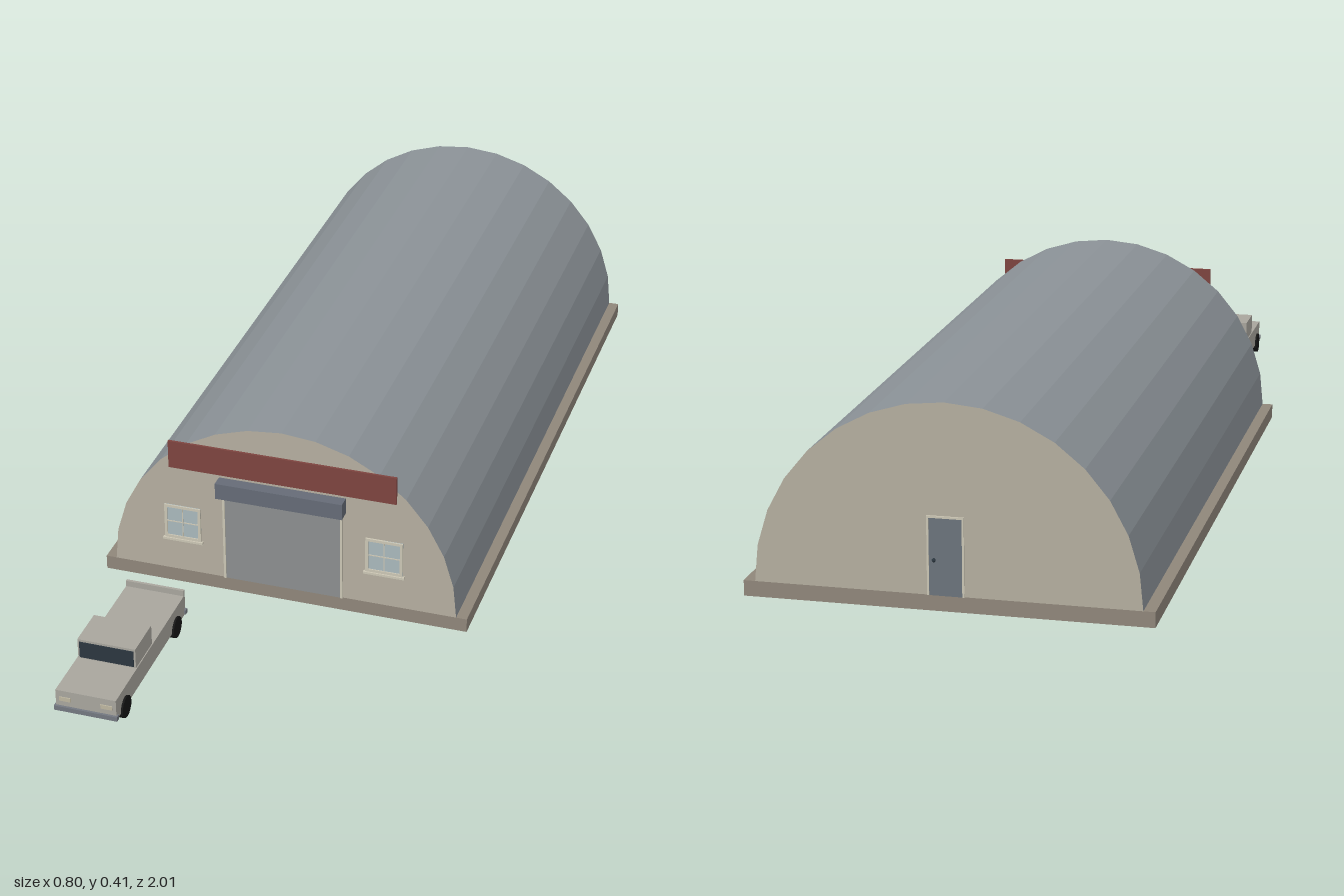
import * as THREE from 'three';

const paint = (color) => new THREE.MeshStandardMaterial({ color, flatShading: true, side: THREE.DoubleSide });

export function createModel() {
  const model = new THREE.Group();
  const mat = {
    roof: paint(0x8b9297), wall: paint(0xb4ae9f), slab: paint(0x8f867a), sign: paint(0x7d443f),
    housing: paint(0x656b76), door: paint(0x8b8e8f), trim: paint(0xcbc6b4), glass: paint(0xa9b8bc),
    backDoor: paint(0x6b737b), dark: paint(0x2b363f), body: paint(0xa8a59d), bumper: paint(0x737880),
    tire: paint(0x151515), lamp: paint(0xbdb6a0),
  };

  const add = (parent, name, geometry, material) => {
    const mesh = new THREE.Mesh(geometry, material);
    mesh.name = name;
    parent.add(mesh);
    return mesh;
  };
  // Box given by its limits on each axis
  const box = (parent, name, material, x0, x1, y0, y1, z0, z1) => {
    const mesh = add(parent, name, new THREE.BoxGeometry(x1 - x0, y1 - y0, z1 - z0), material);
    mesh.position.set((x0 + x1) / 2, (y0 + y1) / 2, (z0 + z1) / 2);
    return mesh;
  };
  const group = (name, x = 0, y = 0, z = 0) => {
    const g = new THREE.Group();
    g.name = name;
    g.position.set(x, y, z);
    model.add(g);
    return g;
  };

  const R = 0.375, FLOOR = 0.031, FRONT = 0.443, BACK = -1, SEGS = 16;

  // Slab and barrel hall
  const hall = group('hall');
  box(hall, 'slab', mat.slab, -0.398, 0.398, 0, FLOOR, BACK, FRONT);
  const arch = new THREE.CylinderGeometry(R, R, FRONT - BACK, SEGS, 1, true, -Math.PI / 2, Math.PI);
  add(hall, 'barrelRoof', arch.rotateX(-Math.PI / 2), mat.roof).position.set(0, FLOOR, (FRONT + BACK) / 2);
  for (const [name, z] of [['frontWall', FRONT], ['backWall', BACK]]) {
    const wall = add(hall, name, new THREE.CircleGeometry(R, SEGS, 0, Math.PI), mat.wall);
    wall.position.set(0, FLOOR, z);
    if (z < 0) wall.rotation.y = Math.PI;
  }

  // Sign board and roller door
  const entrance = group('entrance', 0, 0, FRONT);
  box(entrance, 'signBoard', mat.sign, -0.246, 0.246, 0.284, 0.347, 0, 0.005);
  box(entrance, 'rollerHousing', mat.housing, -0.137, 0.137, 0.24, 0.276, 0, 0.027);
  box(entrance, 'rollerDoor', mat.door, -0.126, 0.126, FLOOR, 0.237, 0, 0.002);
  for (const s of [-1, 1]) {
    box(entrance, 'doorJamb', mat.trim, s * 0.128 - 0.0025, s * 0.128 + 0.0025, FLOOR, 0.24, 0, 0.004);
  }
  box(entrance, 'doorLintel', mat.trim, -0.13, 0.13, 0.236, 0.24, 0, 0.004);

  // Front windows
  for (const s of [-1, 1]) {
    const win = group('window', s * 0.22, 0.15, FRONT);
    const w = 0.04, t = 0.006;
    box(win, 'windowGlass', mat.glass, -w, w, -w, w, 0, 0.0015);
    for (const k of [-1, 1]) {
      const c = k * (w - t / 2);
      box(win, 'windowStile', mat.trim, c - t / 2, c + t / 2, -w, w, 0, 0.004);
      box(win, 'windowRail', mat.trim, -w, w, c - t / 2, c + t / 2, 0, 0.004);
    }
    box(win, 'mullion', mat.trim, -0.001, 0.001, -w, w, 0, 0.003);
    box(win, 'crossbar', mat.trim, -w, w, -0.001, 0.001, 0, 0.003);
    box(win, 'windowSill', mat.trim, -0.044, 0.044, -0.045, -0.04, 0, 0.007);
  }

  // Back door
  const rear = group('backDoor', 0, FLOOR, BACK);
  box(rear, 'backDoorPanel', mat.backDoor, -0.032, 0.032, 0, 0.152, -0.002, 0);
  for (const s of [-1, 1]) {
    box(rear, 'backDoorJamb', mat.trim, s * 0.034 - 0.002, s * 0.034 + 0.002, 0, 0.156, -0.003, 0);
  }
  box(rear, 'backDoorLintel', mat.trim, -0.036, 0.036, 0.152, 0.156, -0.003, 0);
  add(rear, 'doorKnob', new THREE.SphereGeometry(0.004, 8, 6), mat.dark).position.set(0.022, 0.07, -0.004);

  // Pickup truck, nose toward the front
  const truck = group('pickupTruck', -0.218);
  const hw = 0.063;
  box(truck, 'truckBody', mat.body, -hw, hw, 0.045, 0.091, 0.618, 0.995);
  box(truck, 'cab', mat.body, -0.061, 0.061, 0.091, 0.135, 0.795, 0.882);
  box(truck, 'windshield', mat.dark, -0.057, 0.057, 0.094, 0.13, 0.882, 0.884);
  box(truck, 'tailgate', mat.body, -hw, hw, 0.06, 0.104, 0.614, 0.62);
  box(truck, 'frontBumper', mat.bumper, -0.066, 0.066, 0.046, 0.056, 0.99, 1);
  box(truck, 'rearBumper', mat.bumper, -0.066, 0.066, 0.046, 0.056, 0.61, 0.62);
  for (const s of [-1, 1]) {
    box(truck, 'headlight', mat.lamp, s * 0.043 - 0.012, s * 0.043 + 0.012, 0.068, 0.077, 0.994, 0.997);
    for (const z of [0.668, 0.95]) {
      const wheel = new THREE.CylinderGeometry(0.023, 0.023, 0.016, 16).rotateZ(Math.PI / 2);
      add(truck, 'wheel', wheel, mat.tire).position.set(s * 0.059, 0.047, z);
    }
  }
  return model;
}
